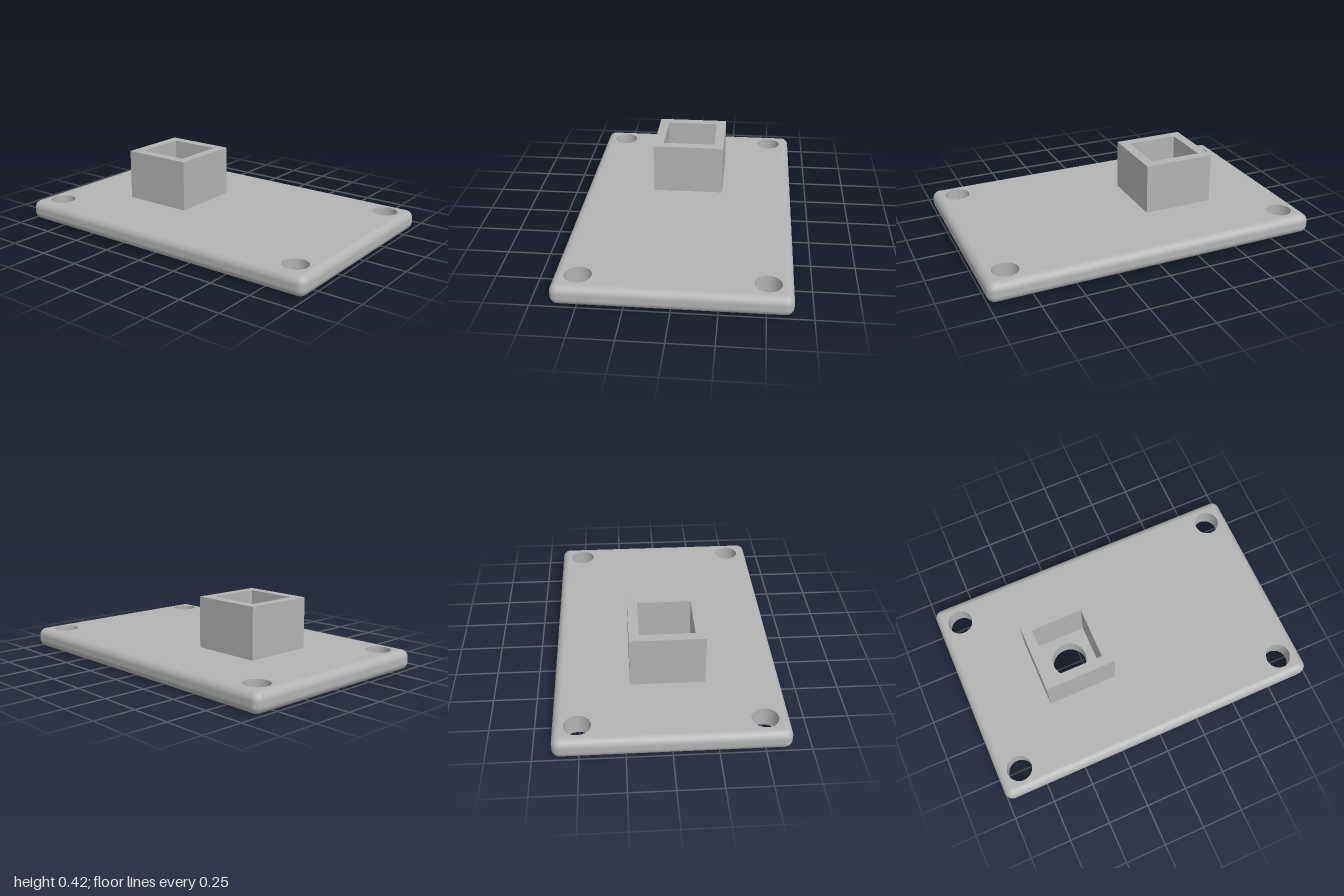
import * as THREE from 'three';

const W = 0.645, D = 1, H = 0.118, R = 0.046; // plate half width, half depth, height, edge radius
const HOLES = [[0, -0.33, 0.105]]; // x, z, radius
for (const x of [-0.507, 0.507]) for (const z of [-0.865, 0.865]) HOLES.push([x, z, 0.075]);

function rectPath(path, x, y) {
  path.moveTo(-x, -y);
  path.lineTo(x, -y);
  path.lineTo(x, y);
  path.lineTo(-x, y);
  path.closePath();
  return path;
}

// Flat face of the plate with all drilled holes; up = 1 for top, -1 for bottom
function capGeometry(up) {
  const shape = rectPath(new THREE.Shape(), W - R, D - R);
  for (const [x, z, r] of HOLES) {
    shape.holes.push(new THREE.Path().absarc(x, -up * z, r, 0, Math.PI * 2, true));
  }
  return new THREE.ShapeGeometry(shape, 24).rotateX(-up * Math.PI / 2);
}

// Rounded border: a half-round profile swept around the four corners
function rimGeometry() {
  const pos = [], nor = [], idx = [], steps = 8, rings = [];
  for (let i = 0; i <= steps; i++) rings.push([-Math.PI / 2 * (1 - i / steps), R]);
  for (let i = 0; i <= steps; i++) rings.push([Math.PI / 2 * i / steps, H - R]);
  const count = 4 * (steps + 1);
  rings.forEach(([phi, cy], i) => {
    for (let q = 0; q < 4; q++) {
      const sx = q === 0 || q === 3 ? 1 : -1, sz = q < 2 ? 1 : -1;
      for (let k = 0; k <= steps; k++) {
        const t = (q + k / steps) * Math.PI / 2;
        const n = [Math.cos(phi) * Math.cos(t), Math.sin(phi), Math.cos(phi) * Math.sin(t)];
        nor.push(...n);
        pos.push(sx * (W - R) + R * n[0], cy + R * n[1], sz * (D - R) + R * n[2]);
      }
    }
    if (i === rings.length - 1) return;
    for (let j = 0; j < count; j++) {
      const a = i * count + j, b = i * count + (j + 1) % count;
      idx.push(a, a + count, b, b, a + count, b + count);
    }
  });
  const g = new THREE.BufferGeometry();
  g.setAttribute('position', new THREE.Float32BufferAttribute(pos, 3));
  g.setAttribute('normal', new THREE.Float32BufferAttribute(nor, 3));
  g.setIndex(idx);
  return g;
}

export function createModel() {
  const group = new THREE.Group();
  group.name = 'mountingPlate';
  const grey = new THREE.MeshStandardMaterial({ color: 0xb3b3b3, side: THREE.DoubleSide });
  grey.name = 'grey';
  const add = (name, geometry, x = 0, y = 0, z = 0) => {
    const mesh = new THREE.Mesh(geometry, grey);
    mesh.name = name;
    mesh.position.set(x, y, z);
    group.add(mesh);
  };

  // Base plate
  add('plateTop', capGeometry(1), 0, H, 0);
  add('plateBottom', capGeometry(-1));
  add('plateRim', rimGeometry());

  // Walls of the screw holes and the cable hole
  HOLES.forEach(([x, z, r], i) => {
    add(i ? 'screwHoleWall' : 'centreHoleWall',
      new THREE.CylinderGeometry(r, r, H, 48, 1, true).rotateY(Math.PI / 2), x, H / 2, z);
  });

  // Square socket, open at the top
  const frame = rectPath(new THREE.Shape(), 0.215, 0.215);
  frame.holes.push(rectPath(new THREE.Path(), 0.157, 0.157));
  const socket = new THREE.ExtrudeGeometry(frame, { depth: 0.422 - H, bevelEnabled: false });
  add('socket', socket.rotateX(-Math.PI / 2), 0, H, -0.33);

  return group;
}
